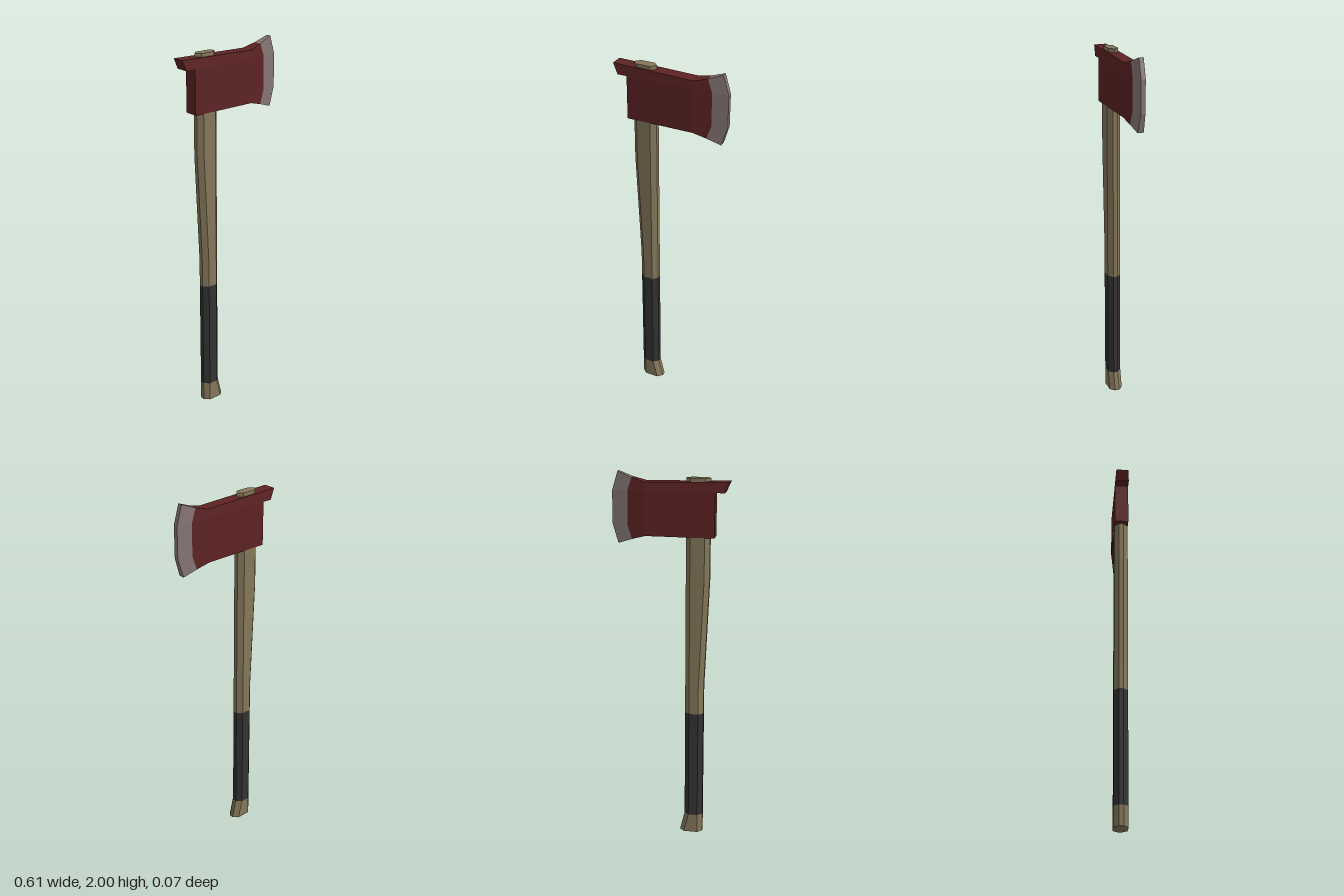
import * as THREE from 'three';

const material = (name, color) => {
  const m = new THREE.MeshStandardMaterial({ color });
  m.name = name;
  return m;
};

// Collects flat polygons (corners counter-clockwise from outside) as triangles.
class Faces {
  constructor() { this.p = []; }
  poly(...v) {
    for (let i = 1; i < v.length - 1; i++) {
      const [a, b, c] = [v[0], v[i], v[i + 1]].map((q) => new THREE.Vector3(...q));
      const area = b.clone().sub(a).cross(c.clone().sub(a)).length();
      if (area > 1e-7) this.p.push(...a.toArray(), ...b.toArray(), ...c.toArray());
    }
  }
  mesh(name, mat) {
    const g = new THREE.BufferGeometry();
    g.setAttribute('position', new THREE.Float32BufferAttribute(this.p, 3));
    g.computeVertexNormals();
    const m = new THREE.Mesh(g, mat);
    m.name = name;
    return m;
  }
}

// Shaft with chamfered corners; each section is [y, left x, right x].
function shaft(name, mat, sections, halfDepth = 0.037, halfEnd = 0.012) {
  const f = new Faces();
  const c = 0.025;
  const rings = sections.map(([y, l, r]) => [
    [l + c, halfDepth], [r - c, halfDepth], [r, halfEnd], [r, -halfEnd],
    [r - c, -halfDepth], [l + c, -halfDepth], [l, -halfEnd], [l, halfEnd],
  ].map(([x, z]) => [x, y, z]));
  for (let i = 0; i < rings.length - 1; i++) {
    for (let j = 0; j < 8; j++) {
      const k = (j + 1) % 8;
      f.poly(rings[i][j], rings[i][k], rings[i + 1][k], rings[i + 1][j]);
    }
  }
  f.poly(...rings[0].slice().reverse());
  f.poly(...rings[rings.length - 1]);
  return f.mesh(name, mat);
}

// Mirrored plate; rows run top to bottom, each point is [x, y].
function plate(name, mat, rows) {
  const f = new Faces();
  // Full thickness up to x = 0.13, then tapering to the cutting edge
  const depth = (x) => 0.037 - Math.max(0, x - 0.13) * 0.143;
  const pt = (r, c, s) => {
    const [x, y] = rows[r][c];
    return [x, y, s * (depth(x) - (r === 0 ? 0.004 : 0))];
  };
  const last = rows.length - 1;
  const end = rows[0].length - 1;
  for (let r = 0; r < last; r++) {
    for (let c = 0; c < end; c++) {
      f.poly(pt(r + 1, c, 1), pt(r + 1, c + 1, 1), pt(r, c + 1, 1), pt(r, c, 1));
      f.poly(pt(r, c, -1), pt(r, c + 1, -1), pt(r + 1, c + 1, -1), pt(r + 1, c, -1));
    }
    f.poly(pt(r + 1, 0, -1), pt(r + 1, 0, 1), pt(r, 0, 1), pt(r, 0, -1));
    f.poly(pt(r + 1, end, 1), pt(r + 1, end, -1), pt(r, end, -1), pt(r, end, 1));
  }
  for (let c = 0; c < end; c++) {
    f.poly(pt(0, c, 1), pt(0, c + 1, 1), pt(0, c + 1, -1), pt(0, c, -1));
    f.poly(pt(last, c, -1), pt(last, c + 1, -1), pt(last, c + 1, 1), pt(last, c, 1));
  }
  return f.mesh(name, mat);
}

export function createModel() {
  const wood = material('wood', 0x86785b);
  const rubber = material('black grip', 0x333333);
  const red = material('red paint', 0x5e2323);
  const steel = material('bare steel', 0x877676);
  const axe = new THREE.Group();
  axe.name = 'axe';

  // Handle: flared foot, grip, widening neck and the end above the head
  axe.add(shaft('handleFoot', wood, [[0, -0.18, -0.055], [0.105, -0.18, -0.08]]));
  axe.add(shaft('grip', rubber, [[0.105, -0.18, -0.08], [0.71, -0.18, -0.08]]));
  axe.add(shaft('handleNeck', wood, [
    [0.71, -0.18, -0.08], [0.86, -0.18, -0.08], [1.45, -0.205, -0.08], [1.69, -0.205, -0.08],
  ], 0.0365));
  axe.add(shaft('handleEnd', wood, [[1.9, -0.205, -0.08], [1.975, -0.205, -0.08]], 0.025, 0));

  // Border between paint and bare steel, shared by head and blade
  const border = [[0.2, 1.97], [0.222, 1.905], [0.222, 1.905], [0.225, 1.73], [0.2, 1.655]];

  // Painted head with the overhanging spur at the back
  axe.add(plate('head', red, [
    [[-0.305, 1.96], [0.13, 1.95], border[0]],
    [[-0.28, 1.905], [0.13, 1.905], border[1]],
    [[-0.23, 1.905], [0.13, 1.905], border[2]],
    [[-0.23, 1.73], [0.13, 1.73], border[3]],
    [[-0.23, 1.675], [0.13, 1.675], border[4]],
  ]));

  // Cutting edge
  const edge = [[0.275, 2], [0.305, 1.9], [0.305, 1.9], [0.305, 1.73], [0.275, 1.63]];
  axe.add(plate('blade', steel, border.map((b, i) => [b, edge[i]])));

  return axe;
}
